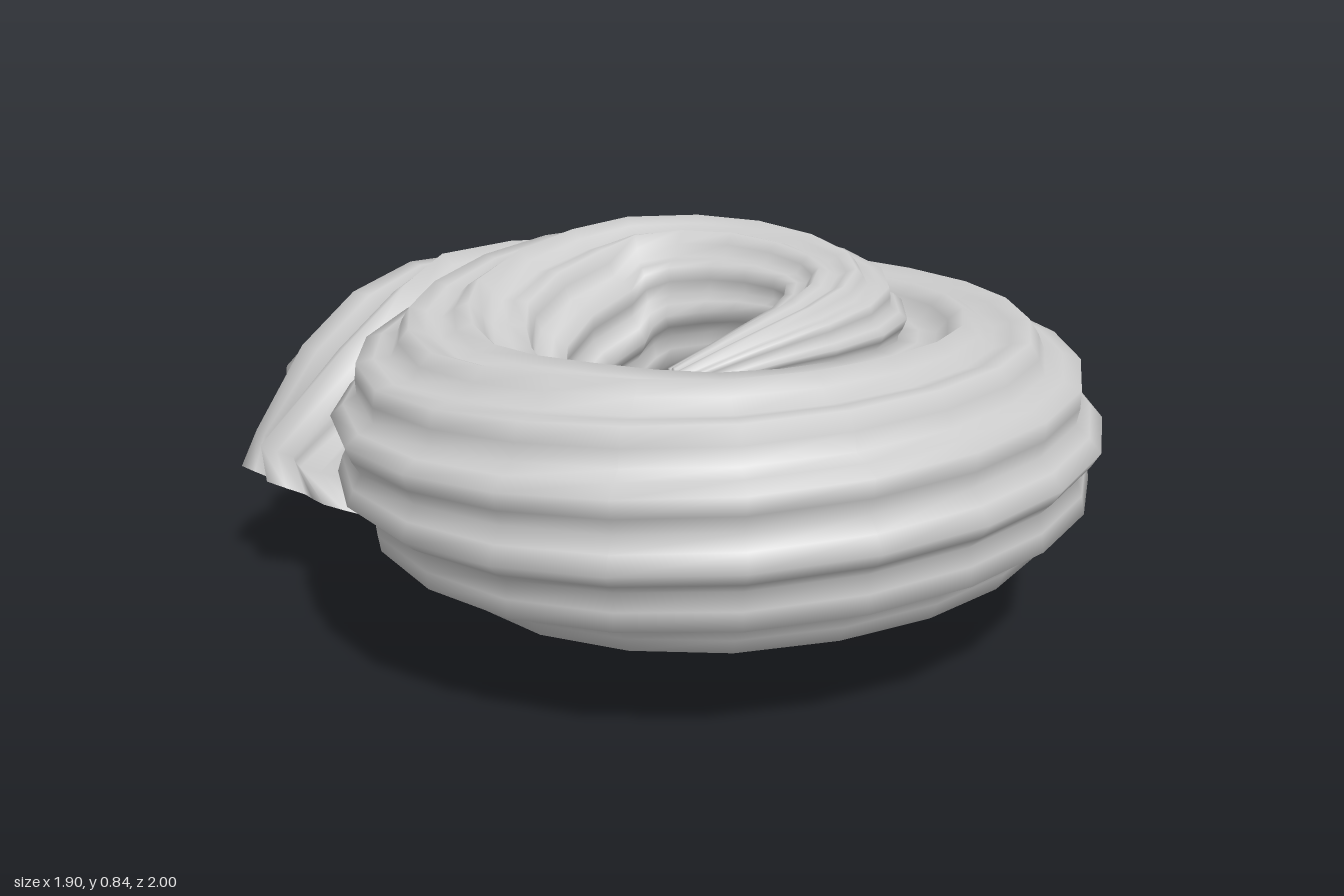
import * as THREE from 'three';

// Spiral path of the rope: x, y, z, radius
const PATH = [
  [-0.65, 0.12, -0.41, 0.33], [-0.575, 0.31, -0.44, 0.31], [-0.38, 0.41, -0.64, 0.3],
  [-0.05, 0.425, -0.71, 0.285], [0.34, 0.42, -0.56, 0.28], [0.6, 0.415, -0.2, 0.28],
  [0.66, 0.415, 0.12, 0.275], [0.53, 0.415, 0.46, 0.27], [0.26, 0.41, 0.67, 0.27],
  [-0.08, 0.405, 0.72, 0.27], [-0.36, 0.41, 0.58, 0.27], [-0.52, 0.43, 0.32, 0.25],
  [-0.48, 0.47, 0.02, 0.25], [-0.28, 0.55, -0.18, 0.24], [0, 0.6, -0.28, 0.23],
  [0.24, 0.62, -0.12, 0.21], [0.33, 0.63, 0.15, 0.17], [0.24, 0.64, 0.36, 0.13],
  [0.06, 0.64, 0.48, 0.08], [-0.13, 0.61, 0.54, 0.04],
];
const RIDGES = 12, SIDES = RIDGES * 4, STEPS = 38;
const PHASE = 0.17, TWIST = 1.7, SQUASH = 0.95;

function swirlGeometry() {
  const centre = new THREE.CatmullRomCurve3(PATH.map(([x, y, z]) => new THREE.Vector3(x, y, z)), false, 'catmullrom');
  const radius = new THREE.CatmullRomCurve3(PATH.map((p) => new THREE.Vector3(p[3], 0, 0)), false, 'catmullrom');
  const pos = [], index = [];

  // Ridged rings, slowly twisting along the path
  for (let i = 0; i <= STEPS; i++) {
    const t = i / STEPS;
    const c = centre.getPoint(t), r = radius.getPoint(t).x, tan = centre.getTangent(t);
    const out = new THREE.Vector3(tan.z, 0, -tan.x).normalize(); // horizontal, away from the coil centre
    const up = new THREE.Vector3().crossVectors(tan, out);
    if (up.y < 0) up.negate();
    for (let j = 0; j < SIDES; j++) {
      const a = (j / SIDES) * Math.PI * 2, turned = a + PHASE - TWIST * t;
      const rr = r * (0.96 + 0.08 * Math.cos(a * RIDGES));
      const p = c.clone()
        .addScaledVector(out, Math.cos(turned) * rr)
        .addScaledVector(up, Math.sin(turned) * rr * SQUASH);
      pos.push(p.x, p.y, p.z);
    }
  }
  for (let i = 0; i < STEPS; i++) {
    for (let j = 0; j < SIDES; j++) {
      const a = i * SIDES + j, b = i * SIDES + ((j + 1) % SIDES);
      index.push(a, a + SIDES, b, b, a + SIDES, b + SIDES);
    }
  }

  // Close the thin inner tip; the wide end stays open
  const tip = centre.getPoint(1), last = STEPS * SIDES;
  pos.push(tip.x, tip.y, tip.z);
  for (let j = 0; j < SIDES; j++) index.push(last + j, last + SIDES, last + ((j + 1) % SIDES));

  // Outward winding, checked on the first face against its ring centre
  const v = (n) => new THREE.Vector3().fromArray(pos, n * 3);
  const normal = v(index[1]).sub(v(index[0])).cross(v(index[2]).sub(v(index[0])));
  if (normal.dot(v(0).sub(centre.getPoint(0))) < 0) index.reverse();

  const g = new THREE.BufferGeometry();
  g.setAttribute('position', new THREE.Float32BufferAttribute(pos, 3));
  g.setIndex(index);
  g.computeVertexNormals();
  return g;
}

export function createModel() {
  const group = new THREE.Group();
  group.name = 'creamSwirl';
  const material = new THREE.MeshStandardMaterial({ color: 0xcccccc, side: THREE.DoubleSide });
  const swirl = new THREE.Mesh(swirlGeometry(), material);
  swirl.name = 'ridgedSpiral';
  group.add(swirl);
  return group;
}
